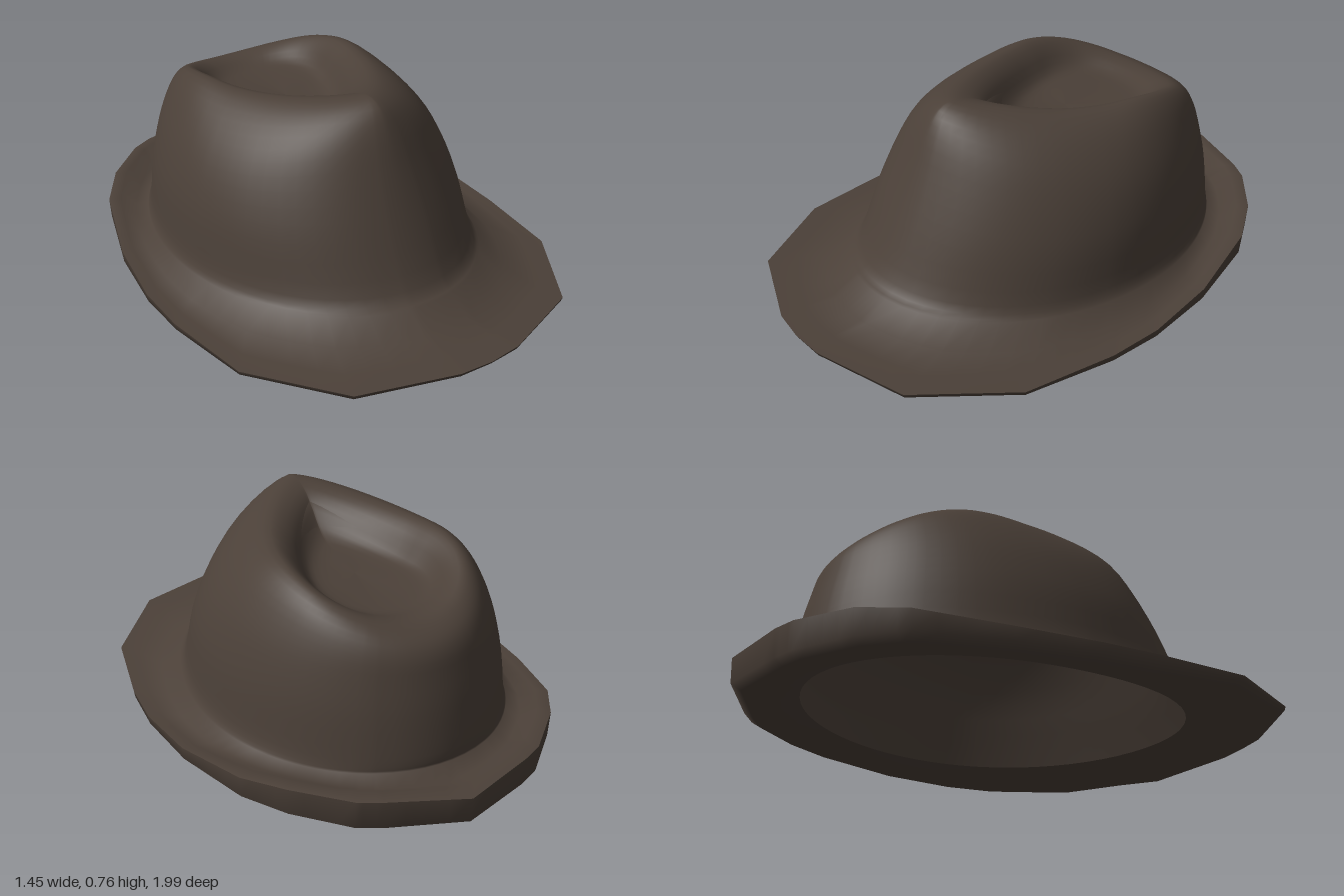
import * as THREE from 'three';

// Half outline of the brim, front to back: x, z, top edge height, lower edge height
const OUTLINE = [
  [0, 0.99, 0.095, 0.085], [0.12, 0.98, 0.095, 0.082], [0.45, 0.86, 0.08, 0.065],
  [0.67, 0.54, 0.06, 0.045], [0.72, 0.2, 0.055, 0.03], [0.725, 0, 0.06, 0.03],
  [0.69, -0.27, 0.08, 0.035], [0.6, -0.57, 0.125, 0.05], [0.5, -0.72, 0.145, 0.05],
  [0.34, -0.87, 0.145, 0.045], [0.26, -0.91, 0.145, 0.045], [0, -1, 0.135, 0.045],
];

// Crown rings, base to dent: front z, back z, widest z, half width,
// front y, side y, back y, teardrop pinch
const CROWN = [
  [0.70, -0.80, -0.08, 0.57, 0.155, 0.115, 0.135, 0],
  [0.65, -0.80, -0.08, 0.55, 0.19, 0.16, 0.18, 0],
  [0.56, -0.78, -0.09, 0.53, 0.37, 0.32, 0.32, 0],
  [0.48, -0.755, -0.1, 0.49, 0.54, 0.46, 0.43, 0.05],
  [0.42, -0.735, -0.12, 0.435, 0.67, 0.57, 0.50, 0.15],
  [0.37, -0.70, -0.16, 0.365, 0.74, 0.66, 0.545, 0.35],
  [0.30, -0.64, -0.2, 0.295, 0.76, 0.70, 0.575, 0.6],
  [0.20, -0.58, -0.24, 0.24, 0.725, 0.66, 0.575, 0.7],
  [0.12, -0.52, -0.25, 0.19, 0.65, 0.59, 0.56, 0.7],
  [0.02, -0.45, -0.24, 0.13, 0.59, 0.57, 0.555, 0.5],
  [-0.2, -0.2, -0.2, 0, 0.565, 0.565, 0.565, 0],
];
const OPENING = [0.66, -0.76, -0.08, 0.53, 0.09, 0.05, 0.07, 0];

// Columns around the hat: outline points plus the matching angle
function makeColumns(steps) {
  const half = [];
  for (let i = 0; i < OUTLINE.length - 1; i++) {
    for (let s = 0; s < steps; s++) {
      half.push(OUTLINE[i].map((v, k) => THREE.MathUtils.lerp(v, OUTLINE[i + 1][k], s / steps)));
    }
  }
  half.push(OUTLINE[OUTLINE.length - 1]);
  const mirrored = half.slice(1, -1).reverse().map(([x, ...rest]) => [-x, ...rest]);
  return [...half, ...mirrored].map(([x, z, top, bottom]) => {
    const angle = Math.atan2(x / 0.73, z);
    return { x, z, top, bottom, angle, cos: Math.cos(angle) };
  });
}

// Point of an egg or teardrop ring in one column (the pinch never goes below zero)
function ringPoint([zf, zb, zm, w, yf, ys, yb, pinch], col) {
  const c = col.cos;
  const taper = Math.pow(Math.abs(Math.sin(col.angle / 2)) / Math.SQRT1_2, Math.max(0, pinch));
  return new THREE.Vector3(
    w * Math.sin(col.angle) * taper,
    ys + ((c > 0 ? yf : yb) - ys) * c * c,
    zm + (c > 0 ? zf - zm : zm - zb) * c
  );
}

// Smoothly fills in rings between the given ones
function refine(rings, steps) {
  const at = (i) => rings[Math.min(Math.max(i, 0), rings.length - 1)];
  const out = [];
  for (let i = 0; i < rings.length - 1; i++) {
    for (let s = 0; s < steps; s++) {
      const t = s / steps;
      out.push(at(i).map((p1, k) => {
        const p0 = at(i - 1)[k], p2 = at(i + 1)[k], p3 = at(i + 2)[k];
        return p1 + 0.5 * t * (p2 - p0 + t * (2 * p0 - 5 * p1 + 4 * p2 - p3 + t * (3 * (p1 - p2) + p3 - p0)));
      }));
    }
  }
  out.push(rings[rings.length - 1]);
  return out;
}

// Skin over closed rings of points
function loft(rings) {
  const n = rings[0].length;
  const index = [];
  for (let r = 0; r < rings.length - 1; r++) {
    for (let i = 0; i < n; i++) {
      const j = (i + 1) % n;
      const a = r * n + i, b = r * n + j, c = a + n, d = b + n;
      index.push(a, b, d, a, d, c);
    }
  }
  const geometry = new THREE.BufferGeometry().setFromPoints(rings.flat());
  geometry.setIndex(index);
  geometry.computeVertexNormals();
  return geometry;
}

export function createModel() {
  const group = new THREE.Group();
  group.name = 'hat';
  const felt = new THREE.MeshStandardMaterial({ color: 0x4b4038, side: THREE.DoubleSide });
  felt.name = 'brown felt';

  const columns = makeColumns(4);
  const ring = (params) => columns.map((col) => ringPoint(params, col));
  const crownRings = refine(CROWN, 3);
  const add = (name, rings) => {
    const mesh = new THREE.Mesh(loft(rings), felt);
    mesh.name = name;
    group.add(mesh);
  };

  // Brim top: from the edge, over a rolled lip, through a trough to the crown
  const edge = columns.map((c) => new THREE.Vector3(c.x, c.top, c.z));
  const base = ring(CROWN[0]);
  const brimRing = (t, height) => columns.map((c, i) => {
    const p = edge[i].clone().lerp(base[i], t);
    p.y = height(c, base[i].y, Math.max(0, -c.cos));
    return p;
  });
  const lip = brimRing(0.3, (c, y, back) => c.top + 0.008 * back);
  const trough = brimRing(0.68, (c, y, back) => THREE.MathUtils.lerp(c.top, y, 0.4) - 0.018 - 0.012 * back);

  // Crown with pinched teardrop dent, continuous with the brim
  add('crownAndBrim', [edge, lip, trough, ...crownRings.map(ring)]);

  // Brim underside, curling up to the edge
  const under = (scale, drop) => columns.map((c) => new THREE.Vector3(
    c.x * scale, c.bottom - drop * (1 - Math.max(0, c.cos) ** 2), c.z * scale));
  add('brimUnderside', [ring(OPENING), under(0.9, 0.027), under(0.96, 0.02), under(0.995, 0), edge]);

  // Inside of the crown
  const lining = crownRings.slice(3).map(([zf, zb, zm, w, yf, ys, yb, k]) => [
    Math.max(zf - 0.03, zm), Math.min(zb + 0.03, zm), zm, w * 0.95, yf - 0.025, ys - 0.025, yb - 0.025, k]);
  add('crownLining', [OPENING, ...lining].reverse().map(ring));

  return group;
}
